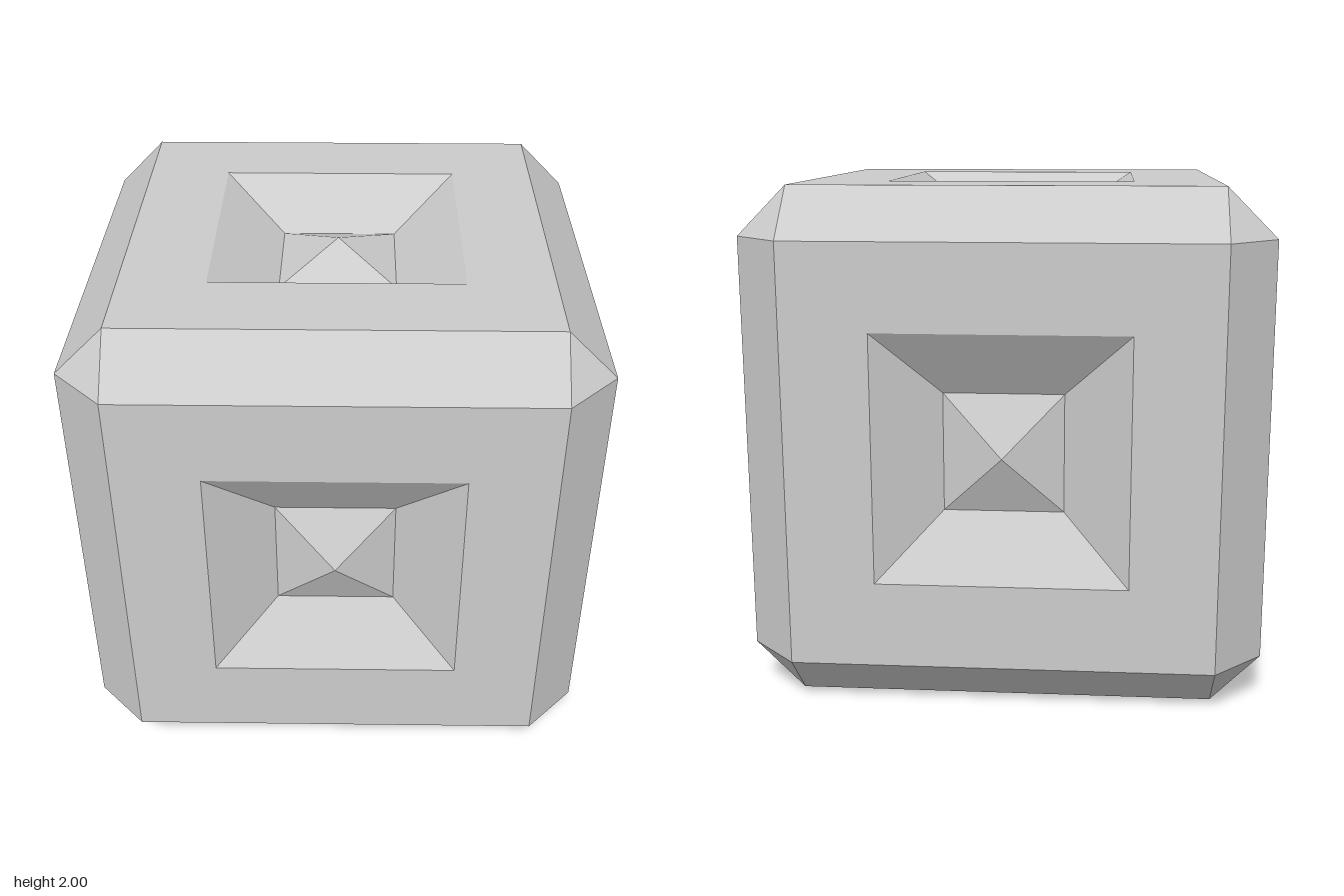
import * as THREE from 'three';

const HALF = 1;        // half the cube's side
const FLAT = 0.81;     // half the flat part of each side
const CUT = HALF - FLAT;

const material = new THREE.MeshStandardMaterial({ color: 0xcccccc, flatShading: true });

function addMesh(parent, geometry, name) {
  const flat = geometry.index ? geometry.toNonIndexed() : geometry;
  flat.computeVertexNormals();
  const mesh = new THREE.Mesh(flat, material);
  mesh.name = name;
  parent.add(mesh);
  return mesh;
}

// Square panel facing +y: flat frame, sloped recess, small pyramid in the middle
function panelGeometry() {
  const profile = [[FLAT, HALF], [0.48, HALF], [0.23, 0.84], [0, 0.94]]
    .map(([half, y]) => new THREE.Vector2(half * Math.SQRT2, y));
  return new THREE.LatheGeometry(profile, 4, Math.PI / 4);
}

// Triangle that closes the corner at the given signs
function cornerGeometry(sx, sy, sz) {
  const points = [[HALF, FLAT, FLAT], [FLAT, HALF, FLAT], [FLAT, FLAT, HALF]]
    .map(([x, y, z]) => new THREE.Vector3(x * sx, y * sy, z * sz));
  if (sx * sy * sz < 0) points.reverse();
  return new THREE.BufferGeometry().setFromPoints(points);
}

export function createModel() {
  const model = new THREE.Group();
  model.name = 'bevelledCube';
  const cube = new THREE.Group();
  cube.name = 'cube';
  cube.position.y = HALF;
  model.add(cube);

  // Six recessed sides
  const q = Math.PI / 2;
  const sides = {
    top: [0, 0, 0], bottom: [2 * q, 0, 0],
    front: [q, 0, 0], back: [-q, 0, 0],
    left: [0, 0, -q], right: [0, 0, q],
  };
  for (const [side, rotation] of Object.entries(sides)) {
    addMesh(cube, panelGeometry(), side + 'Panel').rotation.set(...rotation);
  }

  // Twelve bevelled edges, four along each axis
  const axes = { vertical: [0, 0, 0], depth: [q, 0, 0], width: [0, 0, q] };
  for (const [axis, rotation] of Object.entries(axes)) {
    const edges = new THREE.Group();
    edges.name = axis + 'Edges';
    edges.rotation.set(...rotation);
    cube.add(edges);
    for (let i = 0; i < 4; i++) {
      const strip = new THREE.PlaneGeometry(CUT * Math.SQRT2, 2 * FLAT);
      strip.translate(0, 0, (HALF + FLAT) / Math.SQRT2);
      strip.rotateY(q / 2 + i * q);
      addMesh(edges, strip, 'edgeBevel');
    }
  }

  // Eight corner facets
  for (const sx of [-1, 1])
    for (const sy of [-1, 1])
      for (const sz of [-1, 1])
        addMesh(cube, cornerGeometry(sx, sy, sz), 'cornerFacet');

  return model;
}
